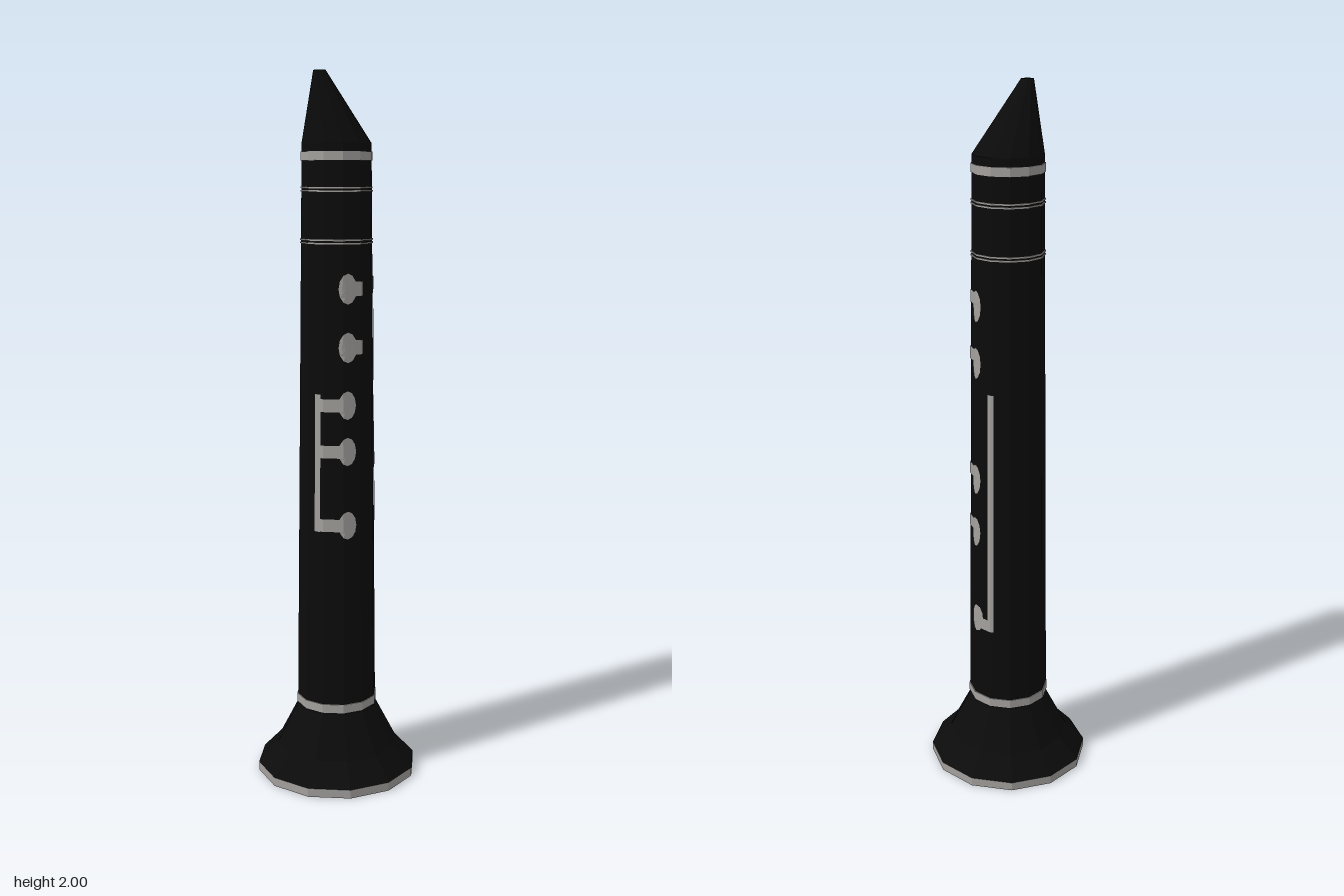
import * as THREE from 'three';

const SIDES = 12;
const black = new THREE.MeshStandardMaterial({ color: 0x0b0b0b });
black.name = 'black stone';
const grey = new THREE.MeshStandardMaterial({ color: 0xa3a09d });
grey.name = 'pale grey';

// Shaft radius (to the corners) at height y
const shaftRadius = (y) => 0.115 - 0.018 * (y - 0.2) / 1.6;

// Faceted lathe from [radius, y] pairs, listed bottom to top
function turned(name, profile, material) {
  const lathe = new THREE.LatheGeometry(profile.map(([r, y]) => new THREE.Vector2(r, y)), SIDES);
  const geo = lathe.toNonIndexed();
  geo.computeVertexNormals();
  const mesh = new THREE.Mesh(geo, material);
  mesh.name = name;
  return mesh;
}

// Thin raised ring around the shaft
function band(name, y0, y1) {
  const a = shaftRadius(y0), b = shaftRadius(y1), t = 0.0025;
  return turned(name, [[a, y0], [a + t, y0], [b + t, y1], [b, y1]], grey);
}

// Wrap flat geometry (x in degrees around from +z, y in height) onto the facets
function wrap(name, flat) {
  const geo = flat.toNonIndexed();
  const p = geo.attributes.position;
  for (let i = 0; i < p.count; i++) {
    const deg = p.getX(i), y = p.getY(i), a = THREE.MathUtils.degToRad(deg);
    const local = THREE.MathUtils.degToRad(THREE.MathUtils.euclideanModulo(deg, 30) - 15);
    const r = shaftRadius(y) * Math.cos(Math.PI / SIDES) / Math.cos(local) + 0.0025;
    p.setXYZ(i, r * Math.sin(a), y, r * Math.cos(a));
  }
  geo.computeVertexNormals();
  const mesh = new THREE.Mesh(geo, grey);
  mesh.name = name;
  return mesh;
}

// Inlaid strip between two angles and two heights
function strip(a0, a1, y0, y1) {
  const flat = new THREE.PlaneGeometry(a1 - a0, y1 - y0, Math.max(1, Math.round((a1 - a0) / 5)), 1);
  return wrap('inlayStrip', flat.translate((a0 + a1) / 2, (y0 + y1) / 2, 0));
}

// Inlaid rounded spot: half-width in degrees, half-height in units
function spot(a, y, da = 14, dy = 0.04) {
  const flat = new THREE.RingGeometry(0.001, 1, 12, 3);
  return wrap('inlaySpot', flat.scale(da, dy, 1).translate(a, y, 0));
}

export function createModel() {
  const model = new THREE.Group();
  model.name = 'obelisk';

  // Flared foot with a pale rim
  model.add(turned('footRim', [[0.232, 0], [0.232, 0.025]], grey));
  model.add(turned('foot', [[0, 0], [0.232, 0]].reverse().map(([r, y]) => [r, y]).reverse(), black));
  model.add(turned('footFlare', [[0.232, 0.025], [0.175, 0.085], [0.115, 0.2]], black));

  // Tapering shaft
  model.add(turned('shaft', [[0.115, 0.2], [0.097, 1.8], [0.097, 1.81]], black));

  // Slanted tip, leaning towards the front
  const tip = turned('tip', [[0.097, 1.81], [0.017, 2], [0, 2]], black);
  const p = tip.geometry.attributes.position;
  for (let i = 0; i < p.count; i++) p.setZ(i, p.getZ(i) + 0.06 * (p.getY(i) - 1.81) / 0.19);
  tip.geometry.computeVertexNormals();
  model.add(tip);

  // Pale rings
  model.add(band('lowerBand', 0.207, 0.232), band('upperBand', 1.763, 1.787));
  for (const y of [1.54, 1.68]) {
    model.add(band('thinRing', y, y + 0.004), band('thinRing', y + 0.009, y + 0.013));
  }

  // Branching inlays running up the shaft
  const inlay = new THREE.Group();
  inlay.name = 'inlay';

  // Comb on the front left
  inlay.add(strip(15, 25, 0.74, 1.13));
  for (const y of [1.1, 0.97, 0.76]) {
    inlay.add(strip(15, 65, y - 0.018, y + 0.018), spot(67, y));
  }
  // Loose spots above the comb
  for (const y of [1.42, 1.26]) {
    inlay.add(spot(68, y, 15, 0.042), strip(70, 95, y - 0.02, y + 0.02));
  }

  // Long comb on the back left
  inlay.add(strip(135, 145, 0.75, 1.45));
  for (const y of [1.43, 1.27, 0.93, 0.77]) {
    inlay.add(strip(135, 175, y - 0.018, y + 0.018), spot(178, y - 0.02, 12, 0.045));
  }

  // Hooked line on the back
  inlay.add(strip(205, 215, 0.46, 1.17), strip(185, 215, 0.45, 0.485), spot(183, 0.48, 13, 0.042));

  model.add(inlay);
  return model;
}
